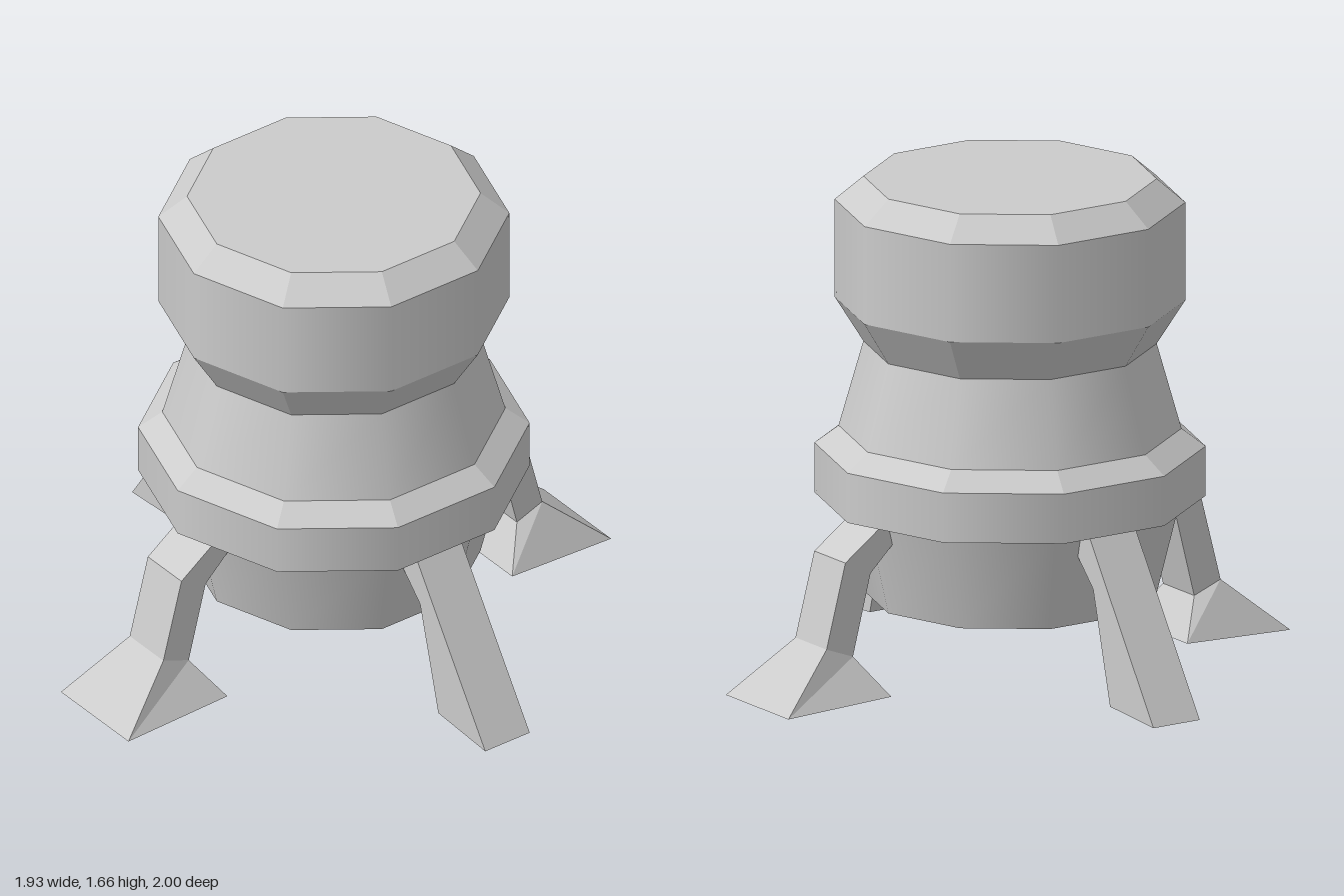
import * as THREE from 'three';

const SIDES = 10;

function material(flatShading) {
  return new THREE.MeshStandardMaterial({ color: 0xcccccc, flatShading, side: THREE.DoubleSide });
}

// Lofts a leg pointing to +z through sections [outerZ, outerY, innerZ, innerY, halfWidth], top to foot
function legGeometry(sections) {
  const rings = sections.map(([oz, oy, iz, iy, w]) => [[w, oy, oz], [-w, oy, oz], [-w, iy, iz], [w, iy, iz]]);
  const positions = [];
  const quad = (a, b, c, d) => [a, b, c, a, c, d].forEach(p => positions.push(...p));
  for (let i = 0; i < rings.length - 1; i++) {
    for (let k = 0; k < 4; k++) {
      const n = (k + 1) % 4;
      quad(rings[i][k], rings[i][n], rings[i + 1][n], rings[i + 1][k]);
    }
  }
  quad(...[...rings[0]].reverse());
  quad(...rings[rings.length - 1]);
  const geometry = new THREE.BufferGeometry();
  geometry.setAttribute('position', new THREE.Float32BufferAttribute(positions, 3));
  geometry.computeVertexNormals();
  return geometry;
}

export function createModel() {
  const model = new THREE.Group();
  model.name = 'leggedCanister';
  const smooth = material(false);
  const flat = material(true);

  // Ten-sided hollow body, open below: [name, bottom y, bottom radius, top y, top radius, faceted]
  const bands = [
    ['lowerHull', 0.245, 0.485, 0.58, 0.567, false],
    ['collarUnderside', 0.58, 0.567, 0.58, 0.647, true],
    ['collar', 0.58, 0.647, 0.75, 0.647, false],
    ['collarBevel', 0.75, 0.647, 0.81, 0.567, true],
    ['neck', 0.81, 0.567, 1.1, 0.485, false],
    ['headUnderside', 1.1, 0.485, 1.25, 0.58, true],
    ['head', 1.25, 0.58, 1.585, 0.58, false],
    ['headBevel', 1.585, 0.58, 1.665, 0.485, true],
  ];
  const body = new THREE.Group();
  body.name = 'body';
  for (const [name, y0, r0, y1, r1, faceted] of bands) {
    const band = new THREE.Mesh(
      new THREE.CylinderGeometry(r1, r0, y1 - y0, SIDES, 1, true), faceted ? flat : smooth);
    band.name = name;
    band.position.y = (y0 + y1) / 2;
    body.add(band);
  }

  // Flat lid, turned so its corners meet the body
  const lid = new THREE.Mesh(new THREE.CircleGeometry(0.485, SIDES, Math.PI / 2), flat);
  lid.name = 'lid';
  lid.rotation.x = -Math.PI / 2;
  lid.position.y = 1.665;
  body.add(lid);
  model.add(body);

  // Front and back legs with flared feet
  const footedLeg = legGeometry([
    [0.53, 0.6, 0.475, 0.55, 0.092],
    [0.71, 0.47, 0.61, 0.42, 0.092],
    [0.785, 0.185, 0.68, 0.145, 0.092],
    [1.0, 0.0, 0.59, 0.015, 0.185],
  ]);
  // Side legs, plain and widening downwards
  const plainLeg = legGeometry([
    [0.56, 0.62, 0.475, 0.54, 0.092],
    [0.78, 0.29, 0.61, 0.405, 0.092],
    [0.967, 0.01, 0.71, 0.025, 0.092],
  ]);

  // Each leg sits slightly off the centre line
  const offset = 0.012;
  const legs = [
    ['frontLeg', footedLeg, 0, offset, 0],
    ['backLeg', footedLeg, Math.PI, offset, 0],
    ['leftLeg', plainLeg, Math.PI / 2, 0, offset],
    ['rightLeg', plainLeg, -Math.PI / 2, 0, offset],
  ];
  for (const [name, geometry, turn, x, z] of legs) {
    const leg = new THREE.Mesh(geometry, flat);
    leg.name = name;
    leg.rotation.y = turn;
    leg.position.set(x, 0, z);
    model.add(leg);
  }
  return model;
}
